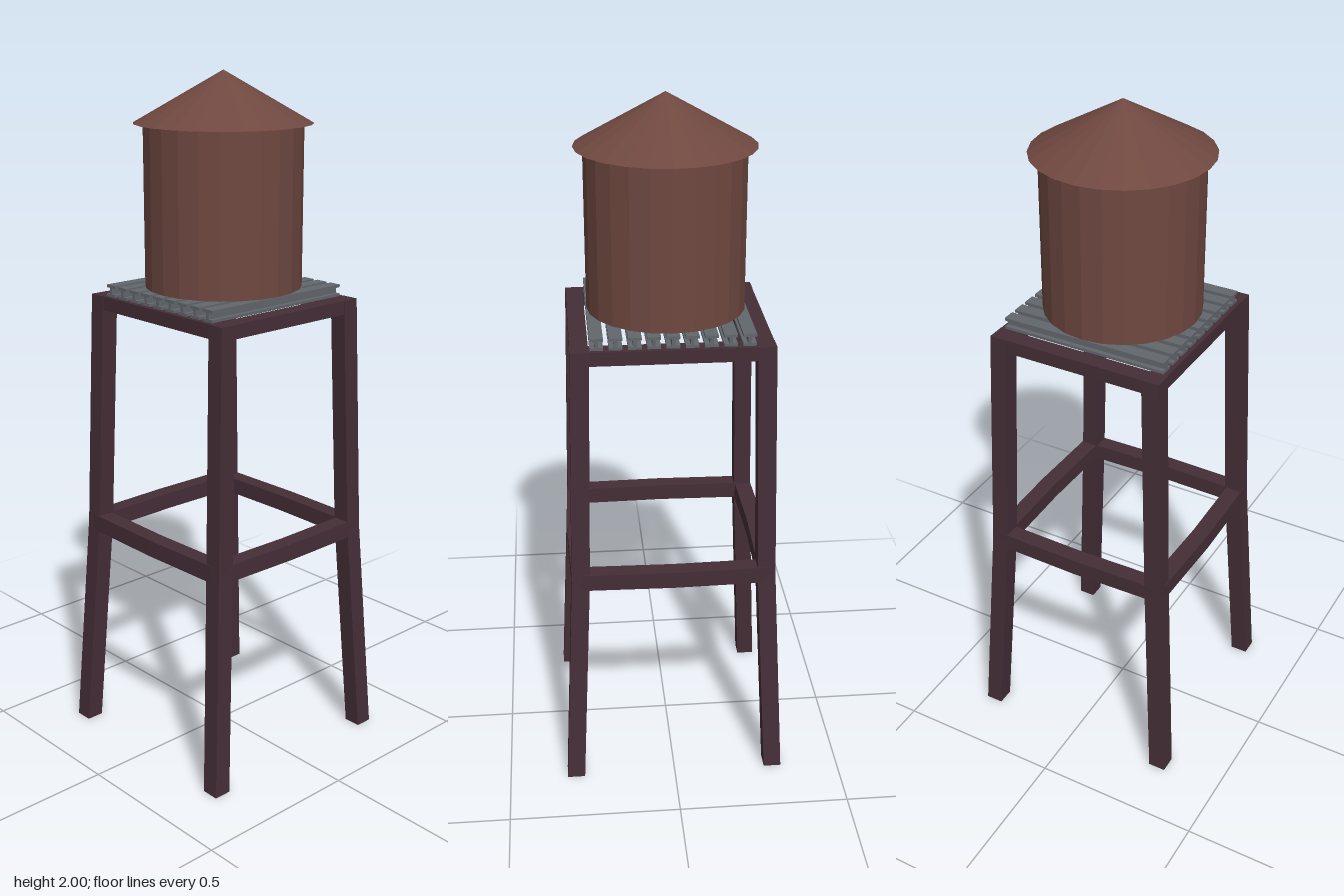
import * as THREE from 'three';

export function createModel() {
  const model = new THREE.Group();
  const rust = new THREE.MeshStandardMaterial({ name: 'rust brown', color: 0x6f4840, flatShading: true });
  const frame = new THREE.MeshStandardMaterial({ name: 'dark plum steel', color: 0x452e37, flatShading: true });
  const steel = new THREE.MeshStandardMaterial({ name: 'grey steel', color: 0x62676c, flatShading: true });

  const add = (name, geometry, material, x = 0, y = 0, z = 0) => {
    const mesh = new THREE.Mesh(geometry, material);
    mesh.name = name;
    mesh.position.set(x, y, z);
    model.add(mesh);
    return mesh;
  };

  // Tank and conical roof, 24 sides
  add('tank', new THREE.CylinderGeometry(0.225, 0.225, 0.457, 24), rust, 0, 1.6285, 0);
  add('roof', new THREE.ConeGeometry(0.252, 0.143, 24), rust, 0, 1.9285, 0);

  // Legs: square section, leaning in, with a bend at the middle ring
  const levels = [
    { y: 0, x: 0.301, z: 0.301 },
    { y: 0.665, x: 0.269, z: 0.26 },
    { y: 1.366, x: 0.254, z: 0.235 },
  ];
  for (const sx of [-1, 1]) {
    for (const sz of [-1, 1]) {
      const g = new THREE.BoxGeometry(0.052, 2, 0.052, 1, 2, 1);
      const p = g.attributes.position;
      for (let i = 0; i < p.count; i++) {
        const l = levels[Math.round(p.getY(i)) + 1];
        p.setXYZ(i, p.getX(i) + sx * l.x, l.y, p.getZ(i) + sz * l.z);
      }
      g.computeVertexNormals();
      add(`${sz > 0 ? 'front' : 'back'}${sx > 0 ? 'Left' : 'Right'}Leg`, g, frame);
    }
  }

  // A beam along x whose middle bows outward slightly
  const beam = (length, height, bow) => {
    const g = new THREE.BoxGeometry(length, height, 0.05, 2, 1, 1);
    const p = g.attributes.position;
    for (let i = 0; i < p.count; i++) {
      if (Math.abs(p.getX(i)) < 0.001) p.setZ(i, p.getZ(i) + bow);
    }
    g.computeVertexNormals();
    return g;
  };

  // Four beams around the legs
  const ring = (name, y, height, hx, hz, bow) => {
    for (const s of [-1, 1]) {
      const turn = s > 0 ? 0 : Math.PI;
      add(name, beam(2 * hx, height, bow), frame, 0, y, s * hz).rotation.y = turn;
      add(name, beam(2 * hz, height, bow), frame, s * hx, y, 0).rotation.y = turn + Math.PI / 2;
    }
  };
  ring('middleBrace', 0.664, 0.05, 0.27, 0.262, 0.006);
  ring('topBeam', 1.346, 0.04, 0.254, 0.235, 0);

  // Platform: nine I-beams running front to back
  const W = 0.0185, w = 0.005, h = 0.017, f = 0.009;
  const half = [[W, -h], [W, -f], [w, -f], [w, f], [W, f], [W, h]];
  const outline = [...half, ...half.map(([x, y]) => [-x, y]).reverse()];
  const section = new THREE.Shape(outline.map(([x, y]) => new THREE.Vector2(x, y)));
  const joist = new THREE.ExtrudeGeometry(section, { depth: 0.494, bevelEnabled: false });
  joist.translate(0, 0, -0.247);
  for (let i = -4; i <= 4; i++) add('platformJoist', joist, steel, i * 0.0519, 1.383, 0);

  return model;
}
